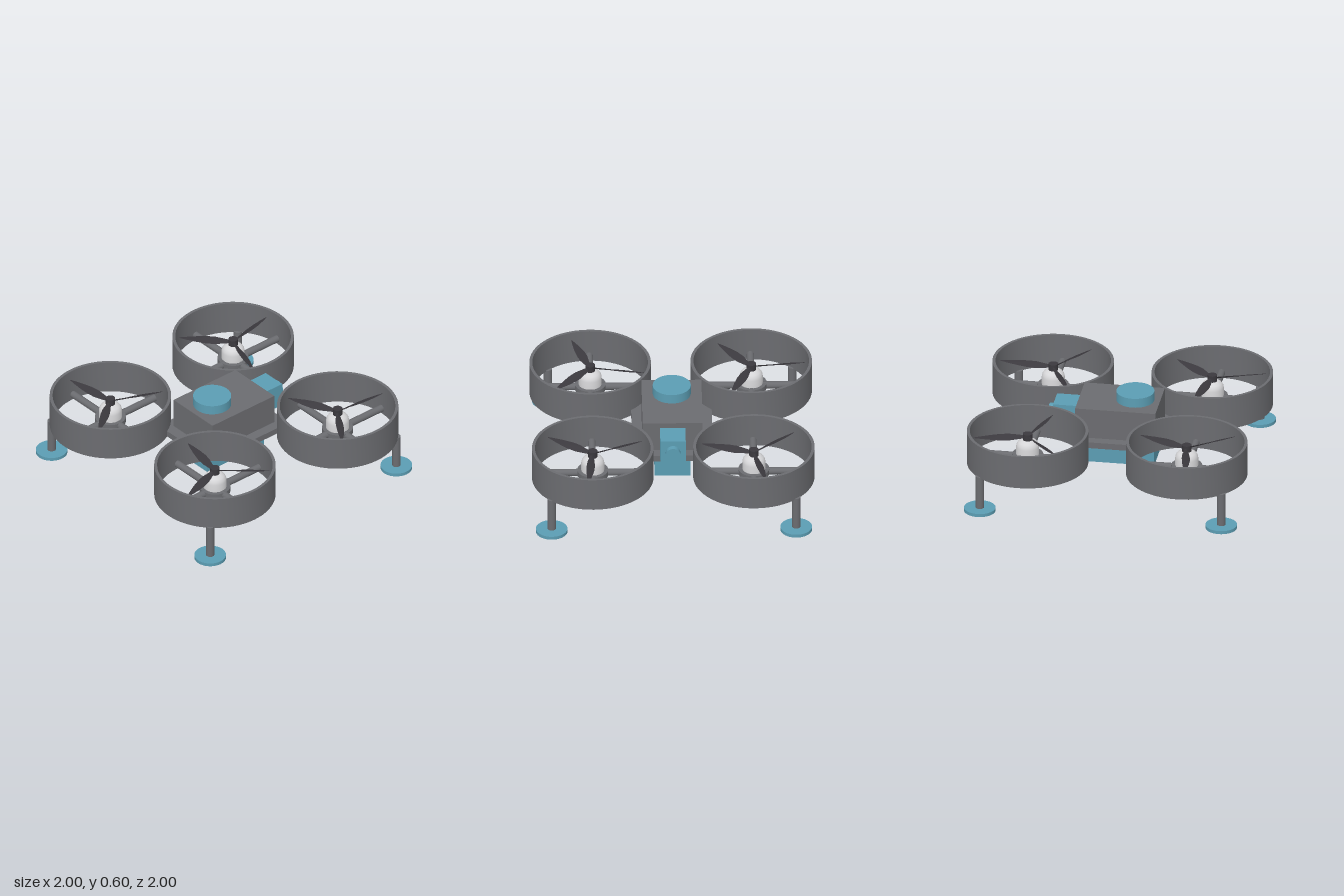
import * as THREE from 'three';
import { toCreasedNormals } from 'three/addons/utils/BufferGeometryUtils.js';

const material = (name, color) => {
  const m = new THREE.MeshStandardMaterial({ color });
  m.name = name;
  return m;
};

export function createModel() {
  const grey = material('frame grey', 0x6b6c70);
  const teal = material('accent teal', 0x5b9db3);
  const silver = material('motor silver', 0xd6d6d8);
  const dark = material('propeller dark grey', 0x3b393e);
  dark.side = THREE.DoubleSide;

  const model = new THREE.Group();
  model.name = 'quadcopter';

  const add = (parent, name, geometry, mat, x = 0, y = 0, z = 0) => {
    const mesh = new THREE.Mesh(geometry, mat);
    mesh.name = name;
    mesh.position.set(x, y, z);
    parent.add(mesh);
    return mesh;
  };
  const lathe = (pts, n) => toCreasedNormals(
    new THREE.LatheGeometry(pts.map(([x, y]) => new THREE.Vector2(x, y)), n), 0.6);

  // Lower deck with corners cut away to clear the ducts
  const px = 0.365, pz = 0.285, cx = 0.255, cz = 0.2;
  const outline = new THREE.Shape([
    [px, -cz], [px, cz], [cx, pz], [-cx, pz], [-px, cz], [-px, -cz], [-cx, -pz], [cx, -pz],
  ].map(([x, y]) => new THREE.Vector2(x, y)));
  const deck = new THREE.ExtrudeGeometry(outline, { depth: 0.045, bevelEnabled: false });
  deck.rotateX(-Math.PI / 2);
  add(model, 'lowerDeck', deck, grey, 0, 0.262, 0);

  // Fuselage, payload and roof sensor
  add(model, 'body', new THREE.BoxGeometry(0.575, 0.225, 0.425), grey, 0, 0.418, 0);
  add(model, 'payloadBox', new THREE.BoxGeometry(0.53, 0.182, 0.255), teal, 0, 0.171, 0);
  add(model, 'roofSensor', new THREE.CylinderGeometry(0.135, 0.135, 0.07, 40), teal, -0.11, 0.565, 0);

  // Camera looking along +x
  add(model, 'cameraHousing', new THREE.BoxGeometry(0.18, 0.18, 0.18), teal, 0.375, 0.4, 0);
  const lens = add(model, 'cameraLens', new THREE.CylinderGeometry(0.052, 0.052, 0.04, 24), teal, 0.485, 0.4, 0);
  lens.rotation.z = -Math.PI / 2;

  // Shared rotor geometries
  const ductGeo = lathe([[0.43, 0.262], [0.43, 0.508], [0.409, 0.508], [0.409, 0.262], [0.43, 0.262]], 64);
  const motorGeo = lathe([[0.082, 0.31], [0.082, 0.385], [0.078, 0.405], [0.066, 0.423], [0.045, 0.436], [0, 0.442]], 32);
  const strutGeo = new THREE.CylinderGeometry(0.026, 0.026, 0.83, 16);
  const mountGeo = new THREE.CylinderGeometry(0.11, 0.11, 0.04, 32);
  const hubGeo = new THREE.CylinderGeometry(0.034, 0.034, 0.05, 16);
  const bladeGeo = makeBlade();

  // Propeller angle for each corner, in degrees
  const corners = [[-1, -1, 97], [1, -1, 12], [-1, 1, 79], [1, 1, -5.5]];
  for (const [sx, sz, angle] of corners) {
    const rotor = new THREE.Group();
    rotor.name = `${sz > 0 ? 'front' : 'back'}${sx > 0 ? 'Left' : 'Right'}Rotor`;
    rotor.position.set(sx * 0.57, 0, sz * 0.57);
    model.add(rotor);

    add(rotor, 'duct', ductGeo, grey);
    add(rotor, 'strutAcross', strutGeo, grey, 0, 0.305, 0).rotation.z = Math.PI / 2;
    add(rotor, 'strutAlong', strutGeo, grey, 0, 0.305, 0).rotation.x = Math.PI / 2;
    add(rotor, 'motorMount', mountGeo, grey, 0, 0.308, 0);
    add(rotor, 'motor', motorGeo, silver);

    const propeller = new THREE.Group();
    propeller.name = 'propeller';
    propeller.position.y = 0.46;
    propeller.rotation.y = THREE.MathUtils.degToRad(angle);
    rotor.add(propeller);
    add(propeller, 'propellerHub', hubGeo, dark);
    for (let i = 0; i < 3; i++) {
      add(propeller, 'blade', bladeGeo, dark).rotation.y = (i * Math.PI * 2) / 3;
    }

    // Landing leg under the outer rim
    add(rotor, 'leg', new THREE.CylinderGeometry(0.03, 0.03, 0.25, 16), grey, sx * 0.295, 0.145, sz * 0.295);
    add(rotor, 'foot', new THREE.CylinderGeometry(0.112, 0.112, 0.024, 40), teal, sx * 0.295, 0.012, sz * 0.295);
  }
  return model;
}

// Twisted leaf-shaped blade along +x, from diamond cross-sections
function makeBlade() {
  // radius, half chord, pitch
  const sections = [
    [0.02, 0.012, 0.6], [0.07, 0.02, 0.55], [0.13, 0.03, 0.48], [0.19, 0.031, 0.4],
    [0.26, 0.025, 0.32], [0.33, 0.014, 0.26], [0.385, 0.003, 0.22],
  ];
  const positions = [], index = [];
  sections.forEach(([r, w, pitch], i) => {
    const t = 0.005 * (1 - 0.7 * r / 0.385);
    for (const [z, y] of [[w, 0], [0, t], [-w, 0], [0, -t]]) {
      positions.push(r, y * Math.cos(pitch) + z * Math.sin(pitch), z * Math.cos(pitch) - y * Math.sin(pitch));
    }
    if (i === 0) return;
    for (let j = 0; j < 4; j++) {
      const k = (j + 1) % 4, p = (i - 1) * 4, q = i * 4;
      index.push(p + j, q + j, p + k, p + k, q + j, q + k);
    }
  });
  const last = (sections.length - 1) * 4;
  index.push(last, last + 2, last + 1, last, last + 3, last + 2);
  const geometry = new THREE.BufferGeometry();
  geometry.setAttribute('position', new THREE.Float32BufferAttribute(positions, 3));
  geometry.setIndex(index);
  geometry.computeVertexNormals();
  return toCreasedNormals(geometry, 0.5);
}
